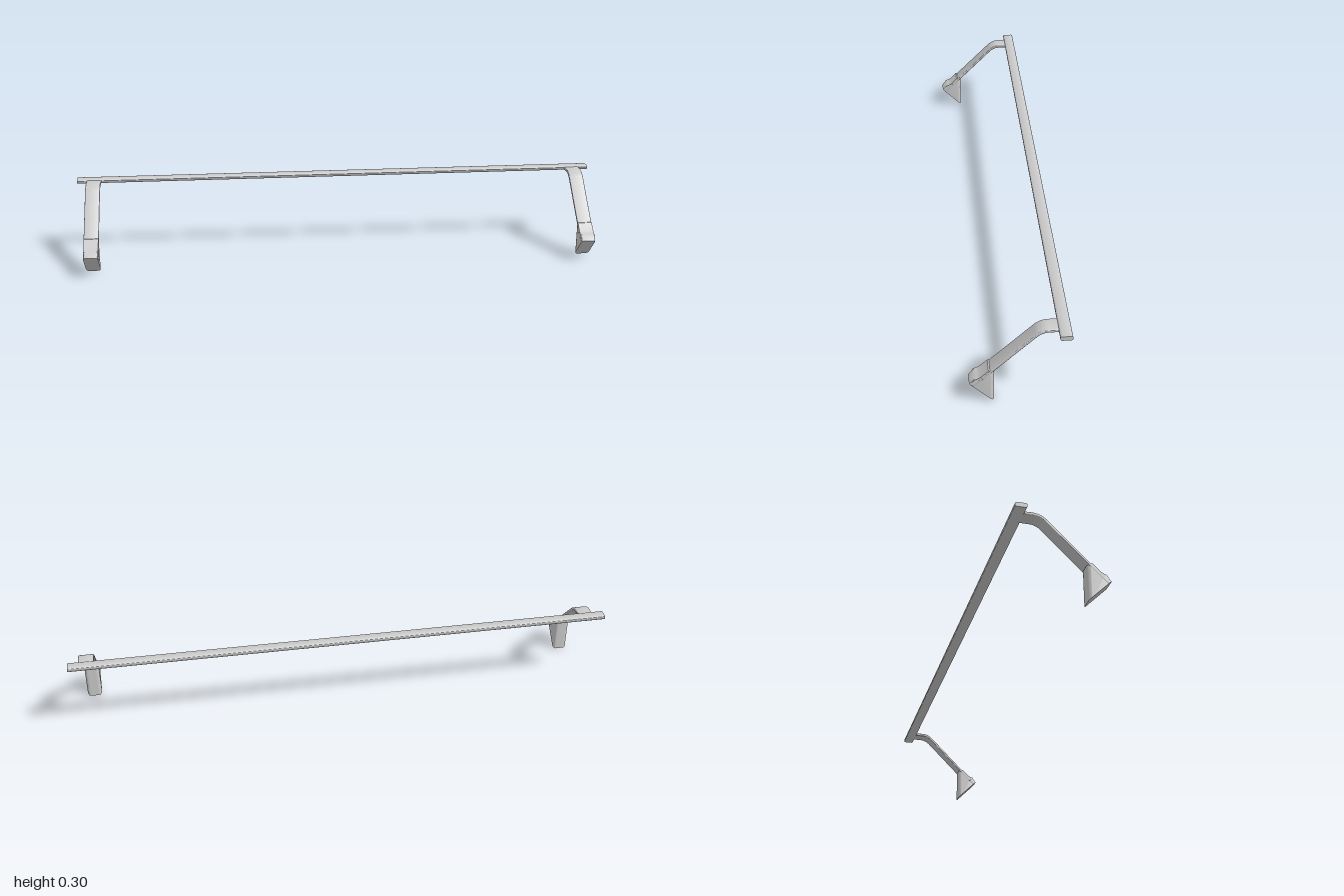
import * as THREE from 'three';
import { toCreasedNormals } from 'three/addons/utils/BufferGeometryUtils.js';

const material = new THREE.MeshStandardMaterial({ color: 0xcccccc });
const WIDTH = 0.055;

function part(name, geometry) {
  const mesh = new THREE.Mesh(toCreasedNormals(geometry, 0.6), material);
  mesh.name = name;
  return mesh;
}

// Extrudes a (z, y) side profile along x, centred on x = 0
function sideExtrude(shape, width, bevel, segments = 3) {
  const depth = width - 2 * bevel;
  const geometry = new THREE.ExtrudeGeometry(shape, {
    depth, curveSegments: 12, bevelEnabled: bevel > 0,
    bevelSize: bevel, bevelOffset: -bevel, bevelThickness: bevel, bevelSegments: segments,
  });
  return geometry.translate(0, 0, -depth / 2).rotateY(-Math.PI / 2);
}

// Long rail with a rounded rectangular section
function railGeometry() {
  const w = 0.04, h = 0.016, r = 0.006, s = new THREE.Shape();
  const x = w / 2, y = h / 2;
  s.moveTo(-x + r, -y);
  s.lineTo(x - r, -y);
  s.absarc(x - r, -y + r, r, -Math.PI / 2, 0);
  s.absarc(x - r, y - r, r, 0, Math.PI / 2);
  s.absarc(-x + r, y - r, r, Math.PI / 2, Math.PI);
  s.absarc(-x + r, -y + r, r, Math.PI, Math.PI * 1.5);
  return sideExtrude(s, 2, 0).translate(0, 0.288, -0.141);
}

// Flat arm rising at 45 degrees and bending level at the rail
function armGeometry() {
  const s = new THREE.Shape();
  s.moveTo(0.1455, 0.0655);
  s.lineTo(0.1525, 0.0725);
  s.lineTo(-0.046, 0.271);
  s.quadraticCurveTo(-0.067, 0.292, -0.092, 0.292);
  s.lineTo(-0.124, 0.292);
  s.lineTo(-0.124, 0.281);
  s.lineTo(-0.092, 0.281);
  s.quadraticCurveTo(-0.07, 0.281, -0.052, 0.263);
  s.closePath();
  return sideExtrude(s, WIDTH, 0.003);
}

// Wedge foot with rounded upright back edges and a raised lip over the arm
function footGeometry() {
  const profile = [[0.08, 0], [0.16, 0.08], [0.143, 0.098], [0.135, 0.1], [0.123, 0.107],
    [0.098, 0.132], [0.093, 0.132], [0.08, 0.127]];
  const shape = new THREE.Shape(profile.map(([z, y]) => new THREE.Vector2(z, y)));
  const geometry = new THREE.ExtrudeGeometry(shape, { depth: 1, steps: 24, bevelEnabled: false });
  geometry.rotateY(-Math.PI / 2);
  const p = geometry.attributes.position;
  const half = WIDTH / 2 - 0.0005, r = 0.012;
  for (let i = 0; i < p.count; i++) {
    const x = half * Math.cos(Math.PI * -p.getX(i)) * -1;
    const near = Math.max(0, r - (half - Math.abs(x)));
    const inset = r - Math.sqrt(Math.max(0, r * r - near * near));
    let y = p.getY(i), z = p.getZ(i);
    const front = 0.16 - inset / 2;
    if (z > front) { y -= z - front; z = front; }
    z = Math.max(z, 0.08 + inset);
    y = Math.max(y, z - 0.08);
    p.setXYZ(i, -x, y, z);
  }
  return geometry;
}

export function createModel() {
  const model = new THREE.Group();
  model.name = 'railWithBrackets';
  model.add(part('rail', railGeometry()));
  const arm = armGeometry(), foot = footGeometry();
  for (const [side, x] of [['left', 0.935], ['right', -0.935]]) {
    const bracket = new THREE.Group();
    bracket.name = side + 'Bracket';
    bracket.add(part('arm', arm), part('foot', foot));
    bracket.position.x = x;
    model.add(bracket);
  }
  return model;
}
